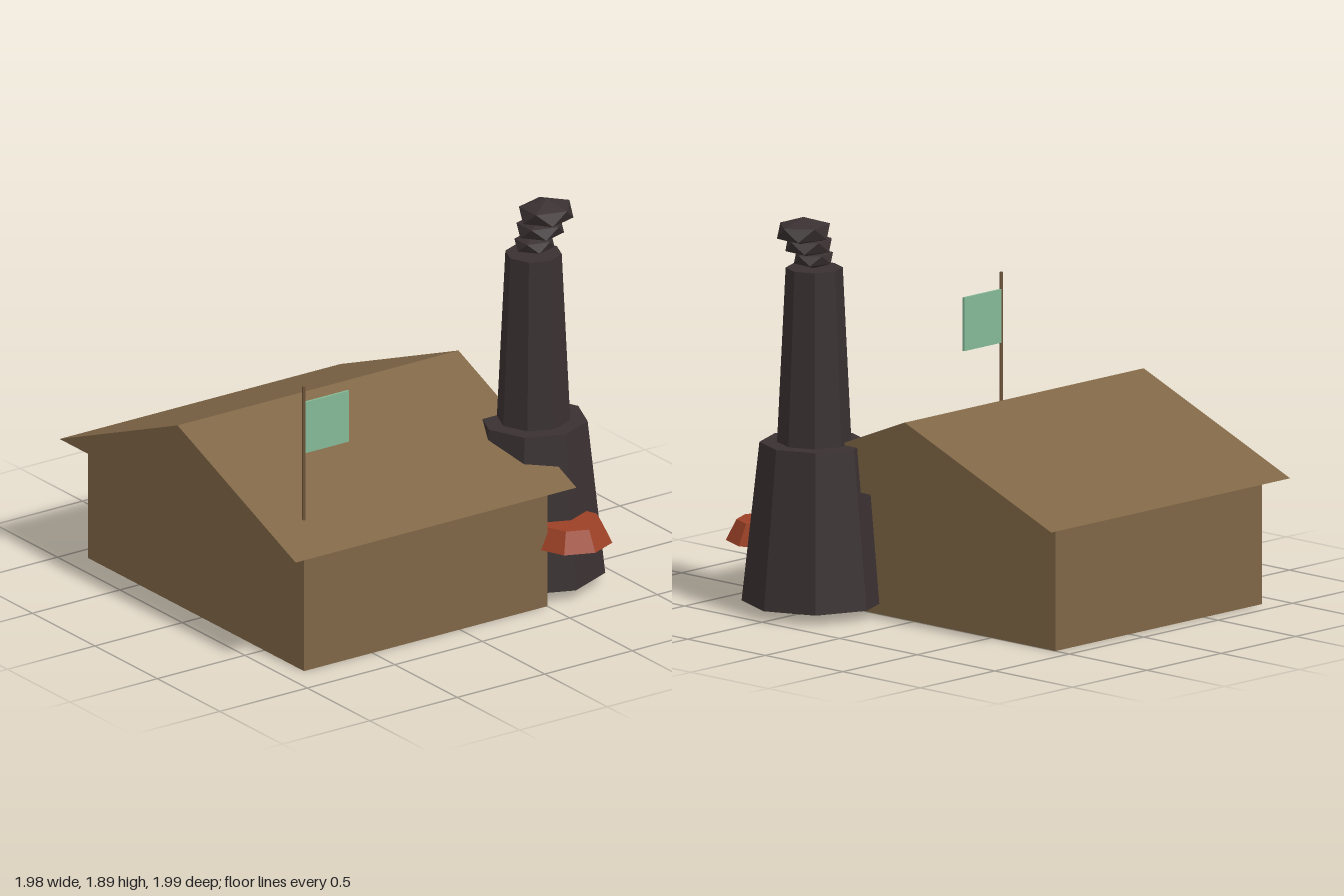
import * as THREE from 'three';

const flat = (name, color) => {
  const m = new THREE.MeshStandardMaterial({ color, flatShading: true });
  m.name = name;
  return m;
};

export function createModel() {
  const wood = flat('wood', 0x7f6646);
  const stone = flat('sootyStone', 0x393031);
  const ember = flat('ember', 0x9c4126);
  const cloth = flat('greenCloth', 0x84b896);
  const poleWood = flat('poleWood', 0x6e5439);

  const group = new THREE.Group();
  const add = (name, geometry, material, x, y, z) => {
    const mesh = new THREE.Mesh(geometry, material);
    mesh.name = name;
    mesh.position.set(x, y, z);
    group.add(mesh);
    return mesh;
  };
  // Eight-sided tapered drum standing from y0 to y1
  const drum = (name, rBottom, rTop, y0, y1, z, material) =>
    add(name, new THREE.CylinderGeometry(rTop, rBottom, y1 - y0, 8), material, 0.65, (y0 + y1) / 2, z);

  // House walls
  add('walls', new THREE.BoxGeometry(1.39, 0.595, 1.73), wood, -0.195, 0.2975, -0.045);

  // Gabled roof: triangle in z/y swept along x
  const gable = new THREE.Shape([
    new THREE.Vector2(-0.945, 0),
    new THREE.Vector2(0.945, 0),
    new THREE.Vector2(0, 0.378),
  ]);
  const roof = new THREE.ExtrudeGeometry(gable, { depth: 1.605, bevelEnabled: false });
  roof.rotateY(Math.PI / 2);
  add('roof', roof, wood, -0.995, 0.595, -0.045);

  // Chimney and the glowing hearth in front of it
  drum('chimneyBase', 0.338, 0.255, 0.05, 0.805, 0.5, stone);
  drum('chimneyStack', 0.173, 0.133, 0.805, 1.635, 0.5, stone);
  drum('hearth', 0.195, 0.145, 0.29, 0.39, 0.8, ember);

  // Smoke puffs: flattened icosahedra with a vertex pointing up
  const puffs = [
    [0.655, 1.682, 0.108, 0.05, 0.097],
    [0.688, 1.75, 0.128, 0.058, 0.116],
    [0.722, 1.82, 0.148, 0.067, 0.13],
  ];
  puffs.forEach(([x, y, sx, sy, sz], i) => {
    const puff = new THREE.IcosahedronGeometry(1, 0);
    puff.rotateZ(-Math.atan(2 / (1 + Math.sqrt(5))));
    puff.scale(sx, sy, sz);
    add('smokePuff' + (i + 1), puff, stone, x, y, 0.5);
  });

  // Flag on its pole
  add('flagPole', new THREE.CylinderGeometry(0.008, 0.008, 0.67, 6), poleWood, -0.785, 1.02, 0.672);
  add('flag', new THREE.BoxGeometry(0.25, 0.255, 0.012), cloth, -0.655, 1.147, 0.67);

  return group;
}
